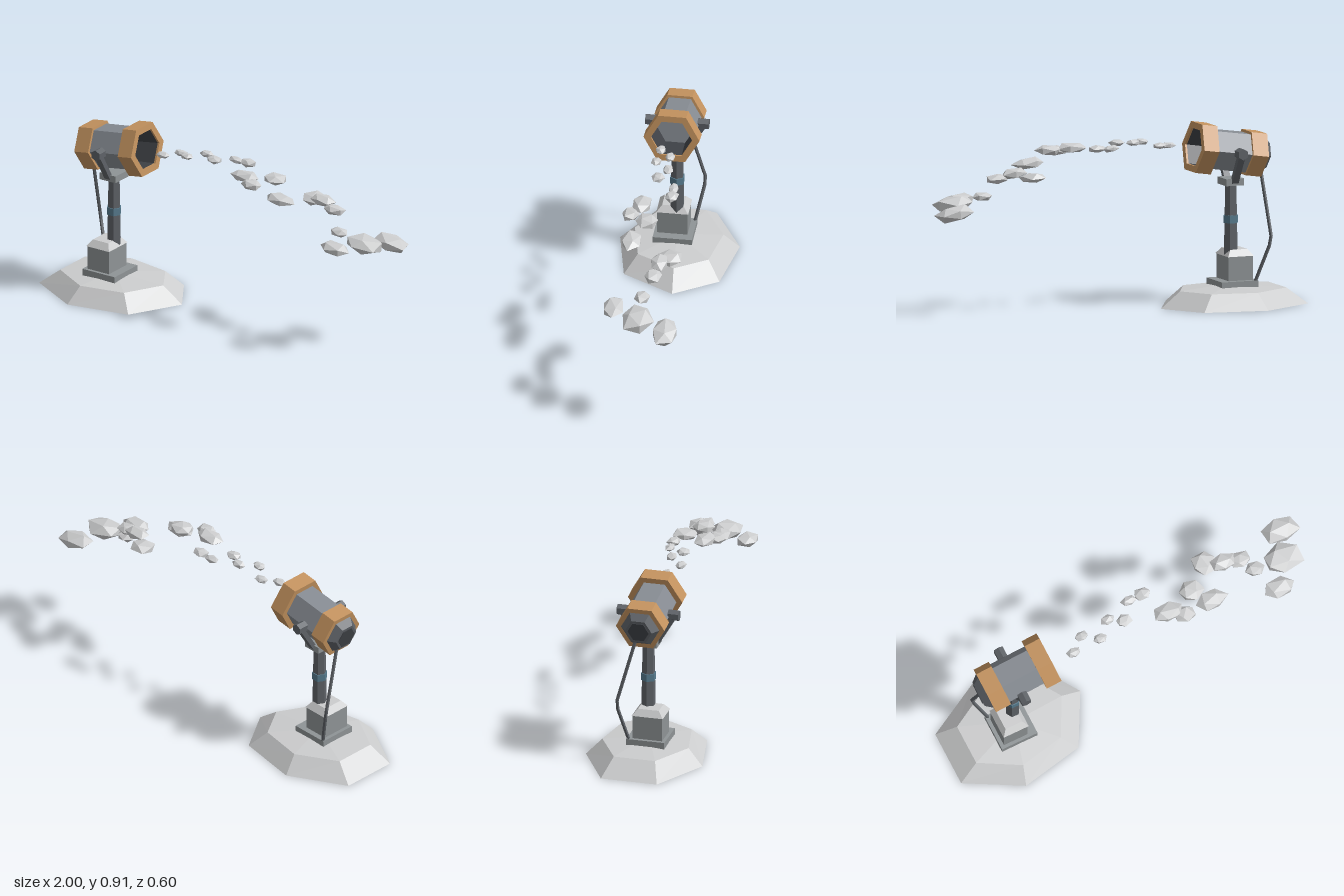
import * as THREE from 'three';

const mat = (name, color, side = THREE.FrontSide) => {
  const m = new THREE.MeshStandardMaterial({ color, flatShading: true, side });
  m.name = name;
  return m;
};

export function createModel() {
  const snow = mat('snow', 0xcccdce, THREE.DoubleSide);
  const tan = mat('tan', 0xc4935f);
  const steel = mat('steel', 0x878c93);
  const concrete = mat('concrete', 0x8f9496);
  const darkSteel = mat('darkSteel', 0x5f6368);
  const blue = mat('blue', 0x587c8f);
  const interior = mat('interior', 0x3f4247);

  const model = new THREE.Group();
  model.name = 'snowMachine';
  const add = (name, geo, material, x = 0, y = 0, z = 0, parent = model) => {
    const m = new THREE.Mesh(geo, material);
    m.name = name;
    m.position.set(x, y, z);
    parent.add(m);
    return m;
  };

  // Hollow snow mound: rim ring, shoulder ring and a peak
  const rim = [[-1, 0.14], [-0.72, 0.295], [-0.4, 0.23], [-0.26, -0.03], [-0.4, -0.245], [-0.72, -0.3], [-1, -0.145]];
  const cx = -0.64;
  const verts = [];
  rim.forEach(([x, z]) => verts.push(x, 0, z));
  rim.forEach(([x, z]) => verts.push(cx + (x - cx) * 0.72, 0.08, z * 0.74));
  verts.push(cx, 0.1, 0);
  const n = rim.length, faces = [];
  for (let i = 0; i < n; i++) {
    const j = (i + 1) % n;
    faces.push(i, j, n + j, i, n + j, n + i, n + i, n + j, 2 * n);
  }
  const mound = new THREE.BufferGeometry();
  mound.setAttribute('position', new THREE.Float32BufferAttribute(verts, 3));
  mound.setIndex(faces);
  mound.computeVertexNormals();
  add('snowMound', mound, snow);

  // Plinth with a snow cap
  add('baseSlab', new THREE.BoxGeometry(0.195, 0.07, 0.195), concrete, -0.663, 0.085, 0.014);
  add('controlBox', new THREE.BoxGeometry(0.13, 0.13, 0.15), concrete, -0.677, 0.18, 0.02);
  const cap = new THREE.CylinderGeometry(0.072, 0.108, 0.032, 4);
  cap.rotateY(Math.PI / 4);
  cap.scale(0.9, 1, 1.04);
  add('snowCap', cap, snow, -0.677, 0.256, 0.02);

  // Pole, collar and yoke
  const hexPost = (rTop, rBottom, h) => new THREE.CylinderGeometry(rTop, rBottom, h, 6).rotateY(Math.PI / 6);
  const px = -0.648;
  add('pole', hexPost(0.03, 0.037, 0.36), darkSteel, px, 0.42, 0);
  add('collar', hexPost(0.038, 0.038, 0.038), blue, px, 0.422, 0);
  add('yokeBase', new THREE.BoxGeometry(0.095, 0.035, 0.11), concrete, px, 0.61, 0);
  for (const s of [-1, 1]) {
    const dy = 0.15, dz = 0.09;
    const arm = add('yokeArm', new THREE.BoxGeometry(0.034, Math.hypot(dy, dz), 0.024), darkSteel, px, 0.685, s * 0.092);
    arm.rotation.x = s * Math.atan2(dz, dy);
    const knob = new THREE.CylinderGeometry(0.028, 0.028, 0.055, 6).rotateX(Math.PI / 2);
    add('pivotKnob', knob, darkSteel, px, 0.76, s * 0.13);
  }

  // Tilted six-sided drum, built along its own x axis
  const drum = new THREE.Group();
  drum.name = 'drum';
  drum.position.set(-0.645, 0.76, 0);
  drum.rotation.z = 0.15;
  model.add(drum);
  const hexLathe = (pts) =>
    new THREE.LatheGeometry(pts.map(([r, x]) => new THREE.Vector2(r, x)), 6).rotateZ(-Math.PI / 2);
  const part = (name, pts, material) => add(name, hexLathe(pts), material, 0, 0, 0, drum);
  const band = (r, a, b, inner) => [[inner, a], [r, a], [r, b], [inner, b], [inner, a]];
  part('drumBody', [[0.11, -0.1], [0.108, 0.14]], steel);
  part('frontBand', band(0.139, 0.118, 0.2, 0.103), tan);
  part('rearBand', band(0.124, -0.157, -0.073, 0.09), tan);
  part('barrelLining', [[0.102, 0.19], [0.097, 0.05]], interior);
  part('barrelBack', [[0.1, 0.055], [0, 0.055]], steel);
  part('rearCone', [[0, -0.192], [0.068, -0.192], [0.1, -0.155]], darkSteel);
  part('rearIntake', [[0, -0.196], [0.054, -0.196], [0.054, -0.19]], interior);

  // Supply cable hanging behind the pole
  const cable = new THREE.CurvePath();
  const pts = [[-0.795, 0.68, -0.022], [-0.815, 0.325, -0.12], [-0.745, 0.11, -0.073]]
    .map((p) => new THREE.Vector3(...p));
  for (let i = 0; i < 2; i++) cable.add(new THREE.LineCurve3(pts[i], pts[i + 1]));
  add('cable', new THREE.TubeGeometry(cable, 12, 0.009, 5), darkSteel);

  // Spray of snow clumps: x, y, z, width, height, depth
  const clumps = [
    [-0.33, 0.8, 0.038, 0.07, 0.03, 0.05], [-0.26, 0.81, -0.02, 0.065, 0.028, 0.05],
    [-0.185, 0.828, 0.036, 0.075, 0.032, 0.055], [-0.11, 0.834, -0.03, 0.075, 0.032, 0.05],
    [-0.04, 0.834, 0.008, 0.08, 0.034, 0.06], [0.03, 0.82, -0.08, 0.08, 0.034, 0.055],
    [0.105, 0.823, -0.08, 0.09, 0.038, 0.065], [0.18, 0.814, 0.06, 0.16, 0.05, 0.1],
    [0.25, 0.8, 0.1, 0.11, 0.045, 0.09], [0.325, 0.82, 0.01, 0.125, 0.052, 0.11],
    [0.405, 0.748, 0.075, 0.155, 0.055, 0.11], [0.47, 0.706, -0.125, 0.14, 0.05, 0.125],
    [0.55, 0.727, -0.08, 0.125, 0.052, 0.09], [0.63, 0.704, -0.065, 0.11, 0.045, 0.085],
    [0.695, 0.612, -0.02, 0.105, 0.045, 0.085], [0.76, 0.584, 0.115, 0.165, 0.055, 0.1],
    [0.84, 0.587, -0.015, 0.205, 0.08, 0.15], [0.905, 0.558, -0.165, 0.19, 0.078, 0.14],
  ];
  const spray = new THREE.Group();
  spray.name = 'snowSpray';
  model.add(spray);
  clumps.forEach(([x, y, z, w, h, d], k) => {
    const geo = new THREE.IcosahedronGeometry(0.54, 0);
    geo.rotateY(k * 1.3);
    const p = geo.attributes.position, v = new THREE.Vector3();
    for (let i = 0; i < p.count; i++) {
      v.fromBufferAttribute(p, i);
      v.multiplyScalar(1 + 0.12 * Math.sin(v.x * 7 + v.y * 11 + v.z * 5 + k));
      p.setXYZ(i, v.x, v.y, v.z);
    }
    geo.scale(w, h, d);
    geo.computeVertexNormals();
    const clump = add('snowClump', geo, snow, x, y, z, spray);
    clump.rotation.z = -0.1 * Math.max(0, x);
  });

  return model;
}
